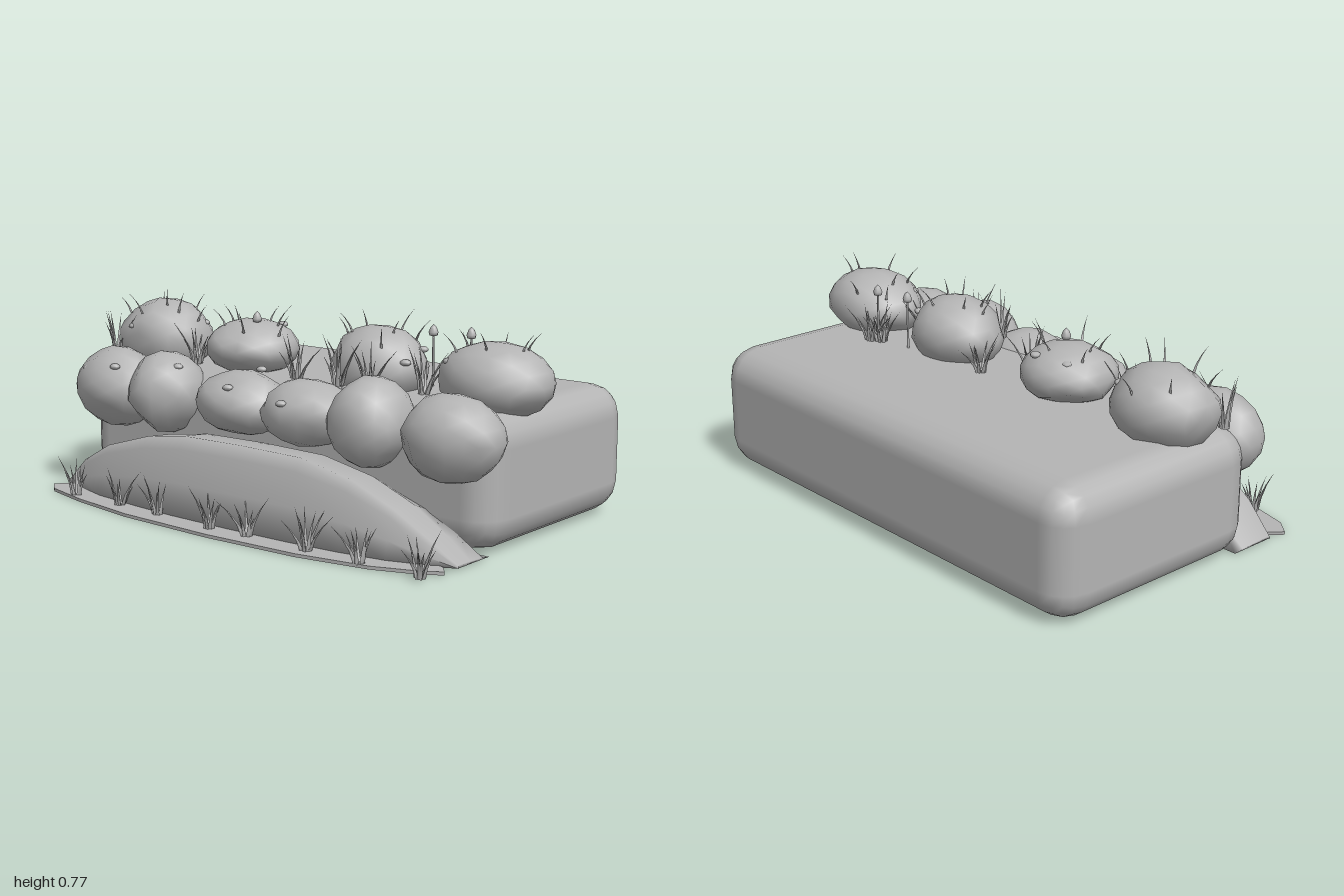
import * as THREE from 'three';
import { mergeGeometries, mergeVertices } from 'three/addons/utils/BufferGeometryUtils.js';
import { RoundedBoxGeometry } from 'three/addons/geometries/RoundedBoxGeometry.js';

const stone = new THREE.MeshStandardMaterial({ color: 0xb4b4b4 });
stone.name = 'stoneGrey';

function seeded(seed) {
  let s = seed;
  return () => (s = (s * 16807) % 2147483647) / 2147483647;
}

function add(group, name, geometry, x = 0, y = 0, z = 0) {
  const mesh = new THREE.Mesh(geometry, stone);
  mesh.name = name;
  mesh.position.set(x, y, z);
  group.add(mesh);
  return mesh;
}

// Sphere with a few shallow planes cut off, smooth shaded
function boulderGeometry(rx, ry, rz, seed) {
  const rnd = seeded(seed * 7919 + 13);
  const cuts = Array.from({ length: 9 }, () => ({
    n: new THREE.Vector3(rnd() - 0.5, rnd() - 0.5, rnd() - 0.5).normalize(),
    d: 0.88 + rnd() * 0.09,
  }));
  let g = new THREE.IcosahedronGeometry(1, 2);
  g.deleteAttribute('normal');
  g.deleteAttribute('uv');
  g = mergeVertices(g, 1e-4);
  const p = g.attributes.position;
  const v = new THREE.Vector3();
  for (let i = 0; i < p.count; i++) {
    v.fromBufferAttribute(p, i);
    let r = 1.02;
    for (const c of cuts) {
      const k = v.dot(c.n);
      if (k > 0.3) r = Math.min(r, c.d / k);
    }
    p.setXYZ(i, v.x * r * rx, v.y * r * ry, v.z * r * rz);
  }
  g.computeVertexNormals();
  return g;
}

// Three-sided tapering blade that bends over as it rises
function bladeGeometry(length, radius, lean, angle) {
  const g = new THREE.ConeGeometry(radius, length, 3, 3);
  g.translate(0, length / 2, 0);
  const p = g.attributes.position;
  for (let i = 0; i < p.count; i++) {
    const t = p.getY(i) / length;
    p.setX(i, p.getX(i) + lean * length * t * (0.4 + 0.6 * t));
  }
  g.rotateY(angle);
  g.computeVertexNormals();
  return g;
}

function tuftGeometry(count, height, seed, spread = 0.75) {
  const rnd = seeded(seed * 3571 + 101);
  const blades = [];
  for (let i = 0; i < count; i++) {
    const a = (i / count) * Math.PI * 2 + rnd() * 0.8;
    const b = bladeGeometry(height * (0.6 + 0.4 * rnd()), 0.009, spread * (0.25 + 0.75 * rnd()), a);
    b.translate(Math.cos(a) * 0.012, 0, -Math.sin(a) * 0.012);
    blades.push(b);
  }
  return mergeGeometries(blades);
}

// Bank in front of the block: cross-sections lofted along x
function bankGeometry() {
  // x, height, z of the front foot
  const stations = [
    [-0.97, 0.02, 0.39], [-0.86, 0.12, 0.43], [-0.7, 0.205, 0.475], [-0.48, 0.27, 0.5],
    [-0.28, 0.3, 0.515], [0, 0.305, 0.52], [0.28, 0.3, 0.515], [0.5, 0.255, 0.5],
    [0.68, 0.18, 0.475], [0.82, 0.09, 0.43], [0.91, 0.02, 0.38],
  ];
  const pos = [], idx = [];
  for (const [x, h, f] of stations) {
    const s = h / 0.3;
    const ring = [[f, 0.01], [f - 0.02 * s, h * 0.45], [f - 0.05 * s, h * 0.85], [f - 0.08 * s, h],
      [0.31, h * 0.96], [0.24, h * 0.8], [0.2, 0.01]];
    for (const [z, y] of ring) pos.push(x, y, z);
  }
  const n = 7;
  for (let i = 0; i < stations.length - 1; i++) {
    for (let j = 0; j < n; j++) {
      const a = i * n + j, b = i * n + ((j + 1) % n);
      idx.push(a, a + n, b, b, a + n, b + n);
    }
  }
  const last = (stations.length - 1) * n;
  for (let j = 1; j < n - 1; j++) idx.push(0, j, j + 1, last, last + j + 1, last + j);
  const g = new THREE.BufferGeometry();
  g.setAttribute('position', new THREE.Float32BufferAttribute(pos, 3));
  g.setIndex(idx);
  g.computeVertexNormals();
  return g;
}

export function createModel() {
  const model = new THREE.Group();
  model.name = 'rockyBank';

  // Main block
  add(model, 'baseBlock', new RoundedBoxGeometry(1.94, 0.48, 0.92, 2, 0.12), -0.03, 0.25, -0.21);

  // Bank and the flat ledge at its foot
  add(model, 'bank', bankGeometry());
  const outline = [[-0.98, 0.46], [-0.92, 0.51], [-0.72, 0.56], [-0.42, 0.605], [0, 0.62], [0.4, 0.605],
    [0.68, 0.56], [0.84, 0.5], [0.91, 0.455], [0.87, 0.41], [0.8, 0.41], [0.6, 0.25], [-0.6, 0.25], [-0.93, 0.4]];
  const ledge = new THREE.ExtrudeGeometry(
    new THREE.Shape(outline.map(([x, z]) => new THREE.Vector2(x, -z))), { depth: 0.012, bevelEnabled: false });
  ledge.rotateX(-Math.PI / 2);
  add(model, 'ledge', ledge, 0, 0.004, 0);

  // Boulders: centre, then radii
  const boulders = [
    [-0.8, 0.57, -0.005, 0.2, 0.15, 0.175], [-0.34, 0.57, -0.01, 0.18, 0.11, 0.175],
    [0.27, 0.57, -0.015, 0.195, 0.14, 0.165], [0.78, 0.565, -0.015, 0.215, 0.135, 0.17],
    [-0.79, 0.405, 0.27, 0.19, 0.155, 0.145], [-0.54, 0.41, 0.26, 0.155, 0.155, 0.155],
    [-0.14, 0.42, 0.27, 0.19, 0.12, 0.145], [0.17, 0.42, 0.265, 0.18, 0.12, 0.155],
    [0.46, 0.425, 0.27, 0.155, 0.16, 0.155], [0.79, 0.41, 0.26, 0.2, 0.15, 0.15],
  ];
  const rnd = seeded(4242);
  boulders.forEach(([x, y, z, rx, ry, rz], i) => {
    add(model, i < 4 ? 'upperBoulder' : 'lowerBoulder', boulderGeometry(rx, ry, rz, i + 1), x, y, z);
    // Short sprouts on the upper boulders
    if (i < 4) {
      for (let k = 0; k < 7; k++) {
        const a = k * 0.9 + rnd(), u = 0.35 + 0.5 * rnd();
        const sprout = bladeGeometry(0.06 + 0.03 * rnd(), 0.006, 0.7, a);
        add(model, 'sprout', sprout, x + Math.cos(a) * u * rx,
          y + Math.sqrt(1 - u * u) * ry * 0.9, z - Math.sin(a) * u * rz);
      }
    }
  });

  // Small pebbles stuck to the boulders
  const pebbles = [[-0.87, 0.48, 0.36], [-0.72, 0.5, 0.36], [-0.45, 0.52, 0.29], [-0.12, 0.49, 0.37],
    [0.16, 0.47, 0.4], [0.32, 0.52, 0.23], [-0.85, 0.62, 0.13], [-0.65, 0.63, -0.07], [-0.42, 0.64, -0.1],
    [-0.29, 0.65, -0.13], [0.42, 0.63, -0.08], [0.44, 0.6, 0.05], [-0.17, 0.52, 0.13], [0.64, 0.63, 0.07]];
  for (const [x, y, z] of pebbles) {
    add(model, 'pebble', new THREE.SphereGeometry(0.02, 7, 5), x, y, z).scale.set(1.1, 0.6, 1);
  }

  // Grass along the ledge
  [-0.78, -0.54, -0.33, -0.05, 0.12, 0.4, 0.63, 0.88].forEach((x, i) => {
    add(model, 'ledgeGrass', tuftGeometry(7, 0.165, i + 1), x, 0.01, [0.52, 0.52, 0.53, 0.55, 0.54, 0.55, 0.55, 0.55][i]);
  });

  // Grass among the boulders
  const tufts = [[-0.57, 0.49, 0.06], [-0.06, 0.48, 0.06], [0.04, 0.48, -0.1], [0.23, 0.51, 0.17],
    [0.38, 0.51, 0.18], [0.5, 0.49, 0.02], [0.56, 0.48, -0.16], [-0.95, 0.5, 0.13], [0.6, 0.48, -0.18]];
  tufts.forEach(([x, y, z], i) => add(model, 'upperGrass', tuftGeometry(8, 0.18, i + 20), x, y, z));

  // Budded stalks
  const bud = new THREE.LatheGeometry(
    [[0, 0], [0.015, 0.004], [0.018, 0.016], [0.011, 0.034], [0, 0.045]].map(([r, y]) => new THREE.Vector2(r, y)), 8);
  for (const [x, z] of [[-0.29, 0.02], [0.43, -0.13], [0.575, -0.16]]) {
    add(model, 'stalk', new THREE.CylinderGeometry(0.004, 0.005, 0.2, 5), x, 0.58, z);
    add(model, 'bud', bud, x, 0.672, z);
  }
  return model;
}
